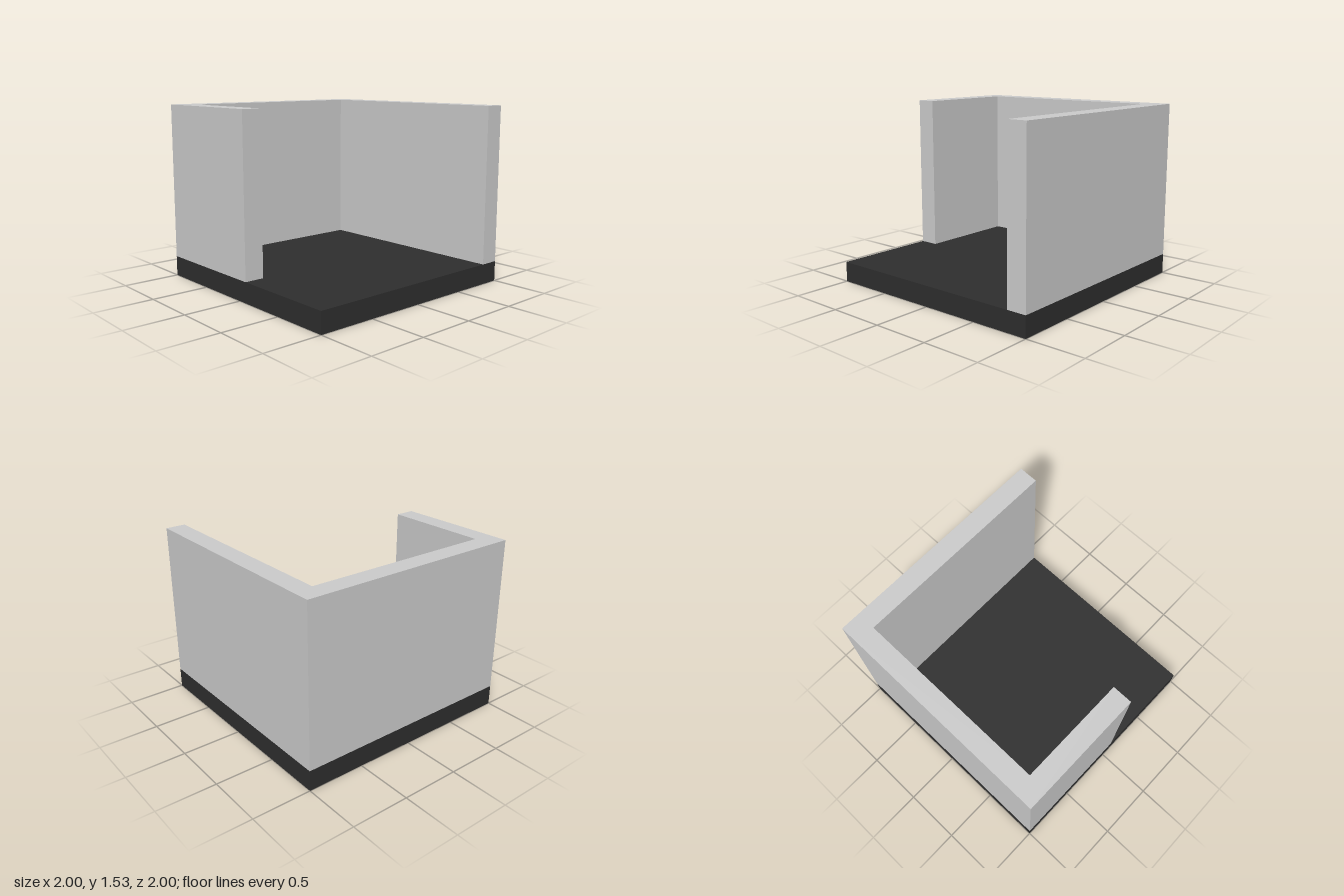
import * as THREE from 'three';

const BASE_TOP = 0.175, WALL_TOP = 1.53, INNER = 0.83, FRONT_END = 0.085;

export function createModel() {
  const model = new THREE.Group();
  model.name = 'openRoom';

  // Dark square floor slab
  const floor = new THREE.Mesh(
    new THREE.BoxGeometry(2, BASE_TOP, 2),
    new THREE.MeshStandardMaterial({ color: 0x2e2e2e })
  );
  floor.name = 'floor';
  floor.position.y = BASE_TOP / 2;
  model.add(floor);

  // One continuous wall: back, right side and a short front return (plan in x, -z)
  const plan = new THREE.Shape([
    [-1, -1], [FRONT_END, -1], [FRONT_END, -INNER], [-INNER, -INNER],
    [-INNER, INNER], [1, INNER], [1, 1], [-1, 1],
  ].map(([x, y]) => new THREE.Vector2(x, y)));
  const wallGeometry = new THREE.ExtrudeGeometry(plan, {
    depth: WALL_TOP - BASE_TOP, bevelEnabled: false,
  });
  wallGeometry.rotateX(-Math.PI / 2);
  const walls = new THREE.Mesh(
    wallGeometry,
    new THREE.MeshStandardMaterial({ color: 0xcccccc })
  );
  walls.name = 'walls';
  walls.position.y = BASE_TOP;
  model.add(walls);

  return model;
}
